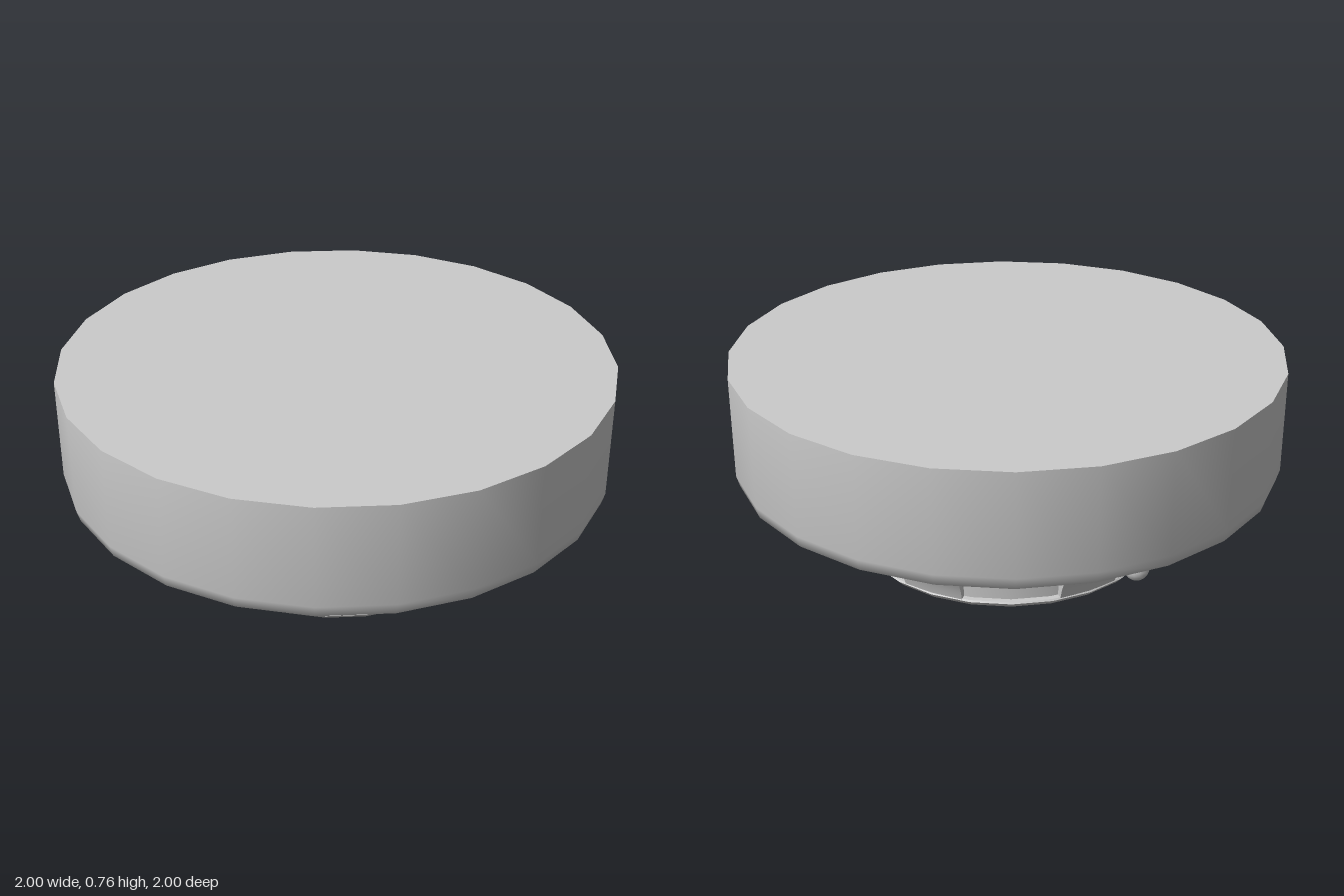
import * as THREE from 'three';
import { toCreasedNormals } from 'three/addons/utils/BufferGeometryUtils.js';

const SIDES = 24;
const deg = THREE.MathUtils.degToRad;
const material = new THREE.MeshStandardMaterial({ color: 0xcccccc });
const thinMaterial = new THREE.MeshStandardMaterial({ color: 0xcccccc, side: THREE.DoubleSide });
const toPoints = (list) => list.map(([r, y]) => new THREE.Vector2(r, y));

function addMesh(parent, name, geometry, mat = material) {
  const mesh = new THREE.Mesh(geometry, mat);
  mesh.name = name;
  parent.add(mesh);
  return mesh;
}

// Turned part; profile runs from the bottom upwards
function turned(profile, sides = SIDES, start = 0, length = Math.PI * 2) {
  return toCreasedNormals(new THREE.LatheGeometry(toPoints(profile), sides, start, length), deg(50));
}

// Round plate with a row of parallel slots
function slottedPlate(radius, thickness) {
  const rim = [];
  for (let i = 0; i < SIDES; i++) {
    const a = (i / SIDES) * Math.PI * 2;
    rim.push(new THREE.Vector2(radius * Math.cos(a), radius * Math.sin(a)));
  }
  const shape = new THREE.Shape(rim);
  const halfLength = 0.235, halfWidth = 0.014, pitch = 0.072;
  for (let i = -3; i <= 3; i++) {
    const z = i * pitch;
    shape.holes.push(new THREE.Path(toPoints([
      [-halfLength, z - halfWidth], [-halfLength, z + halfWidth],
      [halfLength, z + halfWidth], [halfLength, z - halfWidth],
    ])));
  }
  const geometry = new THREE.ExtrudeGeometry(shape, { depth: thickness, bevelEnabled: false });
  geometry.rotateX(Math.PI / 2).translate(0, thickness, 0);
  return geometry;
}

export function createModel() {
  const model = new THREE.Group();
  model.name = 'ceilingDetector';

  // Drum with rounded shoulder and sloping underside
  addMesh(model, 'housing', turned([
    [0.5, 0.19], [0.64, 0.19], [0.945, 0.322], [0.988, 0.348], [1, 0.39], [1, 0.76], [0, 0.76],
  ]));

  // Recessed wall behind the openings, also the floor of the slots
  addMesh(model, 'core', turned([[0, 0.03], [0.535, 0.03], [0.55, 0.19]]));

  // Lip below the openings
  addMesh(model, 'lowerRim', turned([
    [0.52, 0], [0.54, 0.009], [0.56, 0.03], [0.556, 0.036], [0.52, 0.036],
  ]));

  addMesh(model, 'slottedPlate', slottedPlate(0.52, 0.03));

  // Six flared pillars between the openings
  const flare = [[0.556, 0.034], [0.568, 0.07], [0.592, 0.12], [0.64, 0.19]];
  const pillarFace = turned(flare, 2, deg(18), deg(24));
  const capGeometry = new THREE.ShapeGeometry(
    new THREE.Shape(toPoints([[0.5, 0.034], ...flare, [0.5, 0.19]])));
  for (let i = 0; i < 6; i++) {
    const pillar = new THREE.Group();
    pillar.name = 'pillar';
    pillar.rotation.y = deg(60 * i);
    addMesh(pillar, 'pillarFace', pillarFace);
    for (const angle of [18, 42]) {
      addMesh(pillar, 'pillarSide', capGeometry, thinMaterial).rotation.y = deg(angle - 90);
    }
    model.add(pillar);
  }

  // Indicator lamp on the sloping underside
  const lamp = addMesh(model, 'indicatorLamp', new THREE.CapsuleGeometry(0.044, 0.05, 6, 16));
  lamp.position.set(-0.82, 0.284, 0);

  return model;
}
